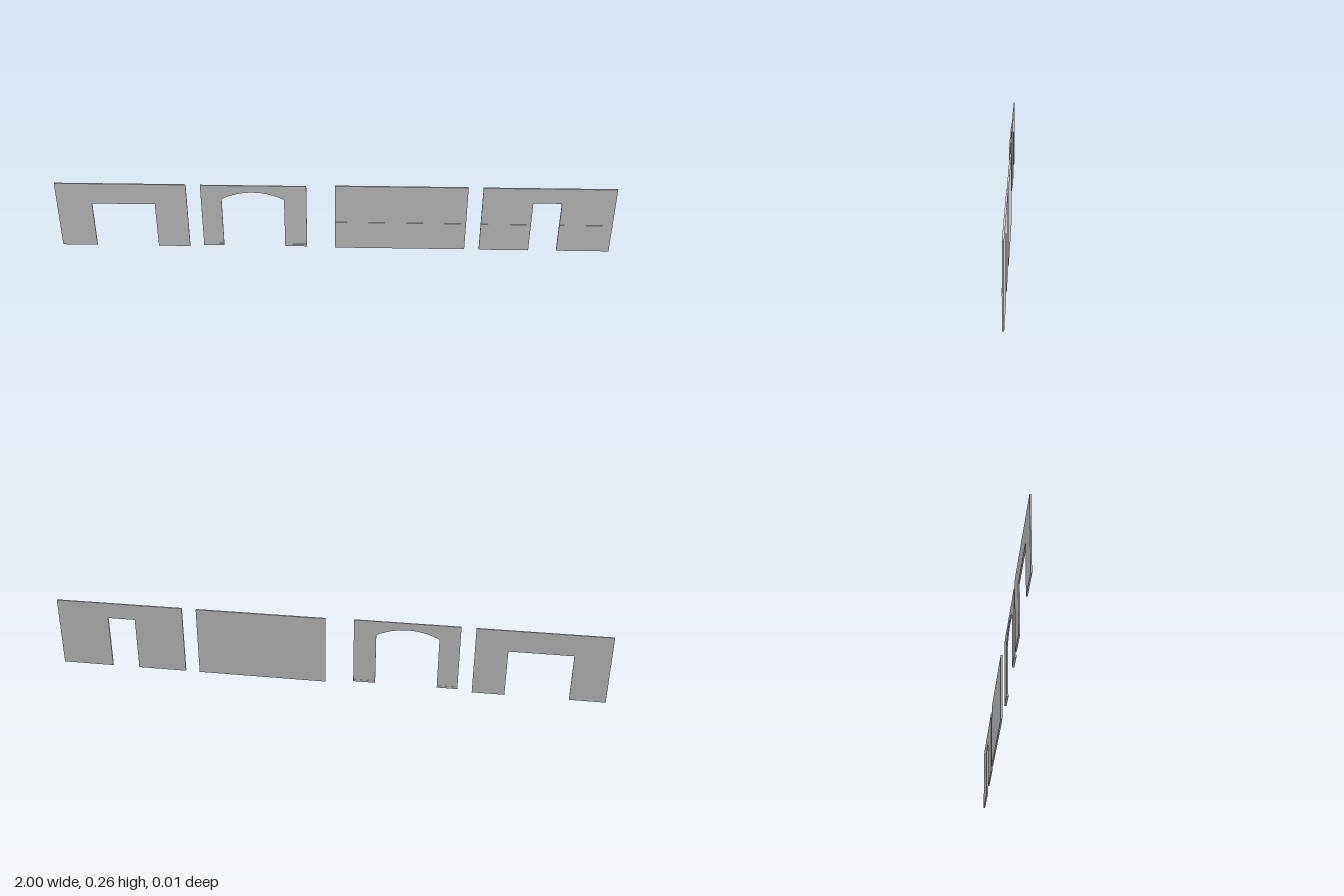
import * as THREE from 'three';

const HEIGHT = 0.257;
const material = new THREE.MeshStandardMaterial({ color: 0xcccccc, flatShading: true });

// Wall outline running around an optional doorway that is open at the floor
function wallShape({ x0, x1, y0 = 0, door }) {
  const s = new THREE.Shape();
  s.moveTo(x0, y0);
  if (door) {
    const { a, b, spring, rise = 0 } = door;
    s.lineTo(a, y0);
    s.lineTo(a, spring);
    if (rise) {
      // Segmental arch from its span and rise
      const half = (b - a) / 2;
      const r = (half * half + rise * rise) / (2 * rise);
      const t = Math.asin(half / r);
      s.absarc((a + b) / 2, spring + rise - r, r, Math.PI / 2 + t, Math.PI / 2 - t, true);
    }
    s.lineTo(b, spring);
    s.lineTo(b, y0);
  }
  s.lineTo(x1, y0);
  s.lineTo(x1, HEIGHT);
  s.lineTo(x0, HEIGHT);
  s.closePath();
  return s;
}

// Moulding strips along the wall, interrupted by the doorway
function addStrips(group, name, { x0, x1, door }, y0, y1, z0, z1) {
  const runs = door ? [[x0, door.a], [door.b, x1]] : [[x0, x1]];
  for (const [a, b] of runs) {
    const strip = new THREE.Mesh(new THREE.BoxGeometry(b - a, y1 - y0, z1 - z0), material);
    strip.position.set((a + b) / 2, (y0 + y1) / 2, (z0 + z1) / 2);
    strip.name = name;
    group.add(strip);
  }
}

function makePanel(spec) {
  const group = new THREE.Group();
  group.name = spec.name;
  const geometry = new THREE.ExtrudeGeometry(wallShape(spec), {
    depth: spec.z1 - spec.z0, bevelEnabled: false, curveSegments: 16,
  });
  geometry.translate(0, 0, spec.z0);
  const wall = new THREE.Mesh(geometry, material);
  wall.name = 'wall';
  group.add(wall);
  if (spec.rail) addStrips(group, 'chairRail', spec, 0.1, 0.109, spec.z1, spec.z1 + 0.0015);
  if (spec.base) addStrips(group, 'baseboard', spec, 0.008, 0.016, spec.z0 - 0.001, spec.z1 + 0.002);
  return group;
}

export function createModel() {
  const model = new THREE.Group();
  model.name = 'wallPanels';
  const panels = [
    { name: 'wideDoorwayPanel', x0: -1, x1: -0.53, z0: -0.002, z1: 0.003,
      door: { a: -0.873, b: -0.646, spring: 0.176 } },
    { name: 'archPanel', x0: -0.478, x1: -0.1, y0: 0.008, z0: 0, z1: 0.005, base: true,
      door: { a: -0.404, b: -0.18, spring: 0.202, rise: 0.028 } },
    { name: 'solidPanel', x0: 0.002, x1: 0.475, z0: -0.006, z1: 0, rail: true },
    { name: 'narrowDoorwayPanel', x0: 0.528, x1: 1, z0: -0.005, z1: 0.001, rail: true,
      door: { a: 0.708, b: 0.81, spring: 0.198 } },
  ];
  for (const spec of panels) model.add(makePanel(spec));
  return model;
}
